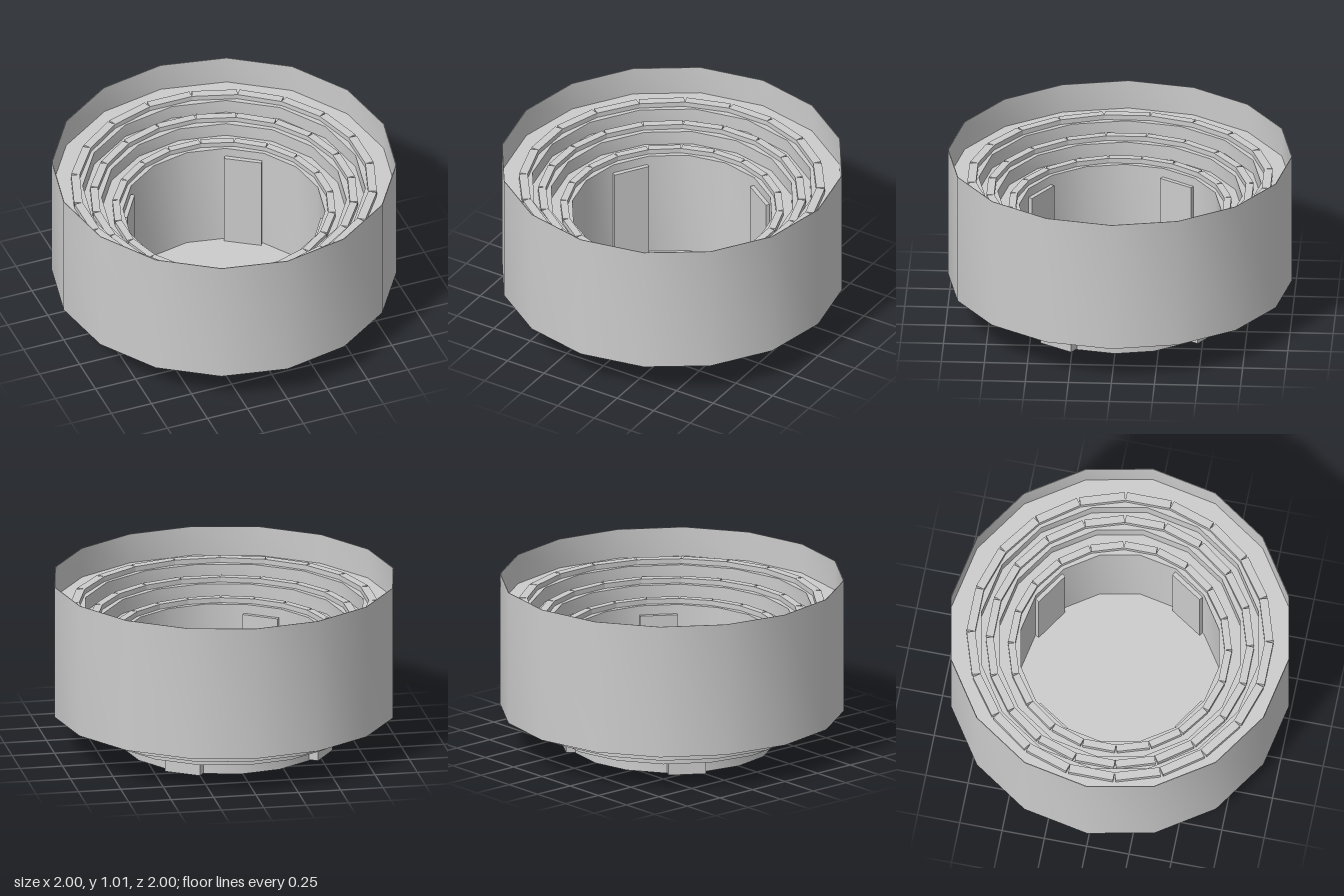
import * as THREE from 'three';
import { toCreasedNormals } from 'three/addons/utils/BufferGeometryUtils.js';

const SIDES = 16;
const BLOCKS = 20;

export function createModel() {
  const group = new THREE.Group();
  group.name = 'arena';
  const material = new THREE.MeshStandardMaterial({ color: 0xcccccc });

  // Sixteen-sided ring surface: smooth around, sharp between steps
  function lathe(name, points) {
    const profile = points.map(([r, y]) => new THREE.Vector2(r, y));
    const geometry = toCreasedNormals(new THREE.LatheGeometry(profile, SIDES), Math.PI / 6);
    const mesh = new THREE.Mesh(geometry, material);
    mesh.name = name;
    group.add(mesh);
  }

  // Box facing outward at an angle, spanning two radii and two heights
  function radialBox(parent, name, angle, width, r0, r1, y0, y1) {
    const mesh = new THREE.Mesh(new THREE.BoxGeometry(width, y1 - y0, r1 - r0), material);
    const r = (r0 + r1) / 2;
    mesh.position.set(Math.sin(angle) * r, (y0 + y1) / 2, Math.cos(angle) * r);
    mesh.rotation.y = angle;
    mesh.name = name;
    parent.add(mesh);
  }

  // Outside: stepped underside and tall outer wall with a thin rim
  lathe('outerShell', [
    [0, 0], [0.59, 0], [0.59, 0.09], [0.71, 0.09], [0.71, 0.145],
    [0.82, 0.145], [0.82, 0.22], [1, 0.22], [1, 1.01], [0.996, 1.01],
  ]);

  // Inside: parapet, three ledges, arena wall and floor
  lathe('seatingBowl', [
    [0.996, 1.01], [0.996, 0.835], [0.82, 0.835], [0.82, 0.75], [0.71, 0.75],
    [0.71, 0.665], [0.586, 0.665], [0.586, 0.006], [0, 0.006],
  ]);

  // A ring of straight benches on each ledge, with narrow gaps at the corners
  const tiers = [
    { inner: 0.83, outer: 0.88, ledge: 0.835, bottom: 0.22 },
    { inner: 0.725, outer: 0.77, ledge: 0.75, bottom: 0.145 },
    { inner: 0.6, outer: 0.642, ledge: 0.665 },
  ];
  tiers.forEach(({ inner, outer, ledge, bottom }, t) => {
    const ring = new THREE.Group();
    ring.name = `benchRing${t + 1}`;
    group.add(ring);
    const length = 2 * inner * Math.tan(Math.PI / BLOCKS);
    for (let i = 0; i < BLOCKS; i++) {
      const angle = (i / BLOCKS) * Math.PI * 2;
      radialBox(ring, 'bench', angle, length, inner, outer, ledge - 0.005, ledge + 0.03);
      // Small ribs under the overhanging steps
      if (bottom) {
        radialBox(ring, 'rib', angle + Math.PI / BLOCKS, 0.012, inner + 0.01, outer + 0.01, bottom - 0.008, bottom + 0.005);
      }
    }
  });

  // Four gates set through the arena wall
  for (let i = 0; i < 4; i++) {
    radialBox(group, 'gate', THREE.MathUtils.degToRad(57 + i * 90), 0.22, 0.55, 0.635, 0.004, 0.61);
  }

  return group;
}
